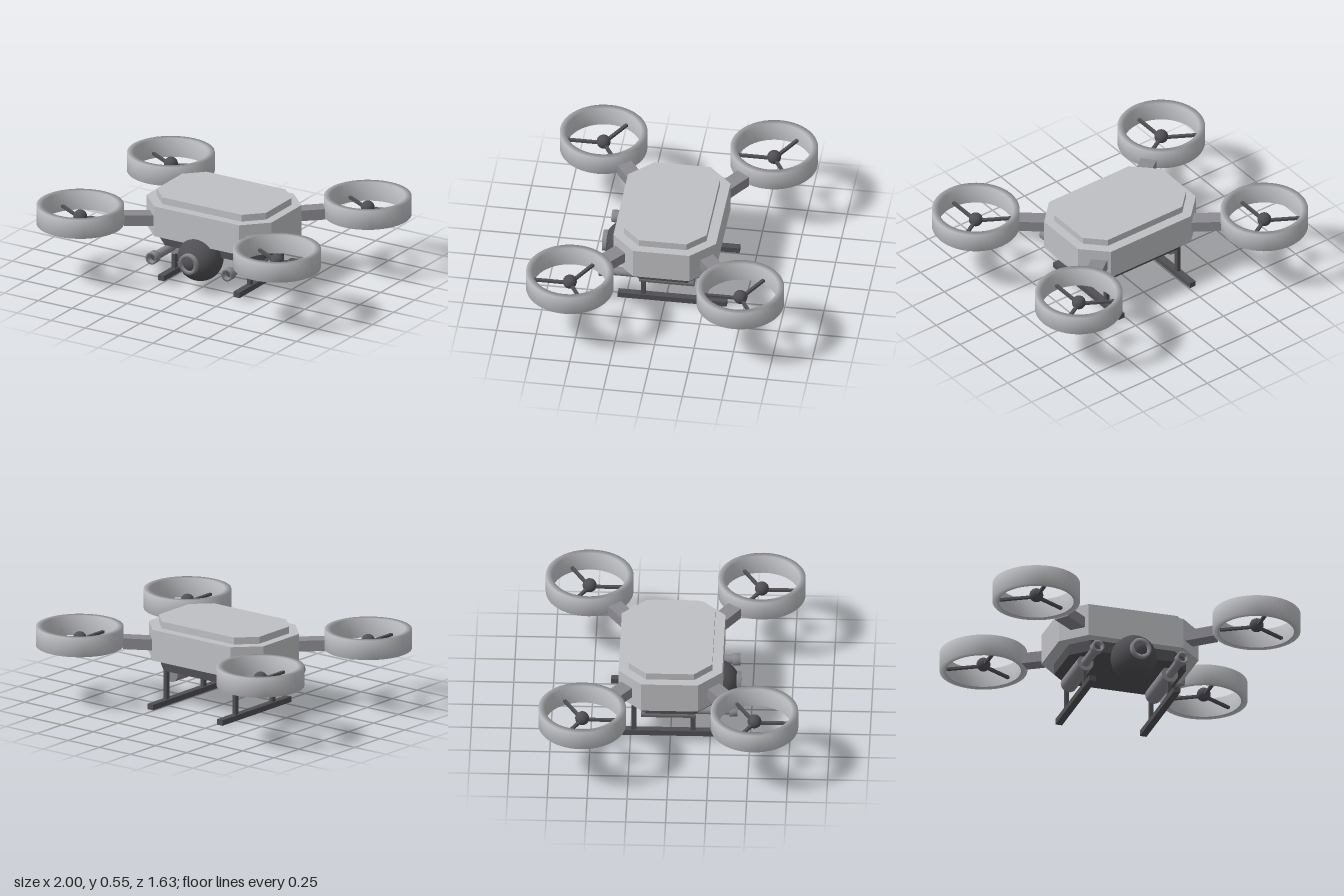
import * as THREE from 'three';

const mat = (name, color) => {
  const m = new THREE.MeshStandardMaterial({ color });
  m.name = name;
  return m;
};

export function createModel() {
  const shell = mat('light grey', 0xbfc0c4);
  const metal = mat('mid grey', 0x8a8a91);
  const dark = mat('dark grey', 0x505054);
  const model = new THREE.Group();
  model.name = 'drone';

  const add = (parent, name, geo, material, x = 0, y = 0, z = 0) => {
    const mesh = new THREE.Mesh(geo, material);
    mesh.name = name;
    mesh.position.set(x, y, z);
    parent.add(mesh);
    return mesh;
  };

  // Rectangle with cut corners, raised from y0 to y1
  const slab = (name, hx, hz, cut, y0, y1, material) => {
    const pts = [
      [hx, hz - cut], [hx - cut, hz], [cut - hx, hz], [-hx, hz - cut],
      [-hx, cut - hz], [cut - hx, -hz], [hx - cut, -hz], [hx, cut - hz],
    ].map(([x, z]) => new THREE.Vector2(x, z));
    const geo = new THREE.ExtrudeGeometry(new THREE.Shape(pts), { depth: y1 - y0, bevelEnabled: false });
    geo.rotateX(-Math.PI / 2);
    add(model, name, geo, material, 0, y0, 0);
  };
  slab('hull', 0.46, 0.325, 0.147, 0.3, 0.5, shell);
  slab('topPlate', 0.403, 0.262, 0.112, 0.5, 0.545, shell);
  slab('bellyPlate', 0.385, 0.26, 0.11, 0.226, 0.3, dark);

  const lathe = (pts, sides = 32) =>
    new THREE.LatheGeometry(pts.map(([r, y]) => new THREE.Vector2(r, y)), sides);

  // Four arms with ducted rotors
  const ductGeo = lathe([[0.235, 0.375], [0.275, 0.375], [0.275, 0.5], [0.235, 0.5], [0.235, 0.375]], 48);
  const bladeGeo = new THREE.BoxGeometry(0.02, 0.016, 0.24).translate(0, 0, 0.12);
  const hubGeo = new THREE.SphereGeometry(0.044, 24, 16);
  const armGeo = new THREE.BoxGeometry(0.1, 0.07, 0.27);
  for (const sx of [-1, 1]) {
    for (const sz of [-1, 1]) {
      const rotor = new THREE.Group();
      rotor.name = 'rotor';
      rotor.position.set(sx * 0.725, 0, sz * 0.54);
      model.add(rotor);
      add(rotor, 'duct', ductGeo, shell);
      add(rotor, 'hub', hubGeo, dark, 0, 0.42, 0);
      for (let i = 0; i < 3; i++) {
        add(rotor, 'blade', bladeGeo, dark, 0, 0.41, 0).rotation.y = (i * Math.PI * 2) / 3;
      }
      const arm = add(model, 'arm', armGeo, metal, sx * 0.398, 0.396, sz * 0.297);
      arm.rotation.order = 'YXZ';
      arm.rotation.y = Math.atan2(sx * 0.725, sz * 0.54);
      arm.rotation.x = -0.04;
    }
  }

  // Camera ball with a hollow lens ring
  add(model, 'cameraBall', new THREE.SphereGeometry(0.145, 40, 28), dark, 0, 0.203, 0.28);
  const ring = lathe([[0.045, 0], [0.067, 0], [0.067, 0.06], [0.045, 0.06], [0.045, 0]]);
  add(model, 'lensRing', ring.rotateX(Math.PI / 2), metal, 0, 0.207, 0.375);
  add(model, 'lens', new THREE.SphereGeometry(0.046, 24, 16).scale(1, 1, 0.5), dark, 0, 0.207, 0.407);

  // Side pods and landing skids
  const tube = (r, z0, z1) =>
    new THREE.CylinderGeometry(r, r, z1 - z0, 28).rotateX(Math.PI / 2).translate(0, 0, (z0 + z1) / 2);
  const muzzleGeo = lathe([[0.025, 0], [0.04, 0], [0.04, 0.05], [0.025, 0.05], [0.025, 0]], 28).rotateX(Math.PI / 2);
  for (const s of [-1, 1]) {
    const x = s * 0.278;
    add(model, 'podBody', tube(0.053, -0.185, 0.16), metal, x, 0.188, 0);
    add(model, 'podBarrel', tube(0.028, 0.16, 0.375), metal, x, 0.188, 0);
    add(model, 'podMuzzle', muzzleGeo, metal, x, 0.188, 0.37);
    add(model, 'podBore', new THREE.CircleGeometry(0.026, 24), dark, x, 0.188, 0.385);
    add(model, 'skid', new THREE.BoxGeometry(0.044, 0.036, 0.69), dark, x, 0.018, -0.045);
    for (const z of [0.14, -0.23]) {
      add(model, 'skidStrut', new THREE.BoxGeometry(0.024, 0.2, 0.03), dark, x, 0.132, z);
    }
  }
  return model;
}
